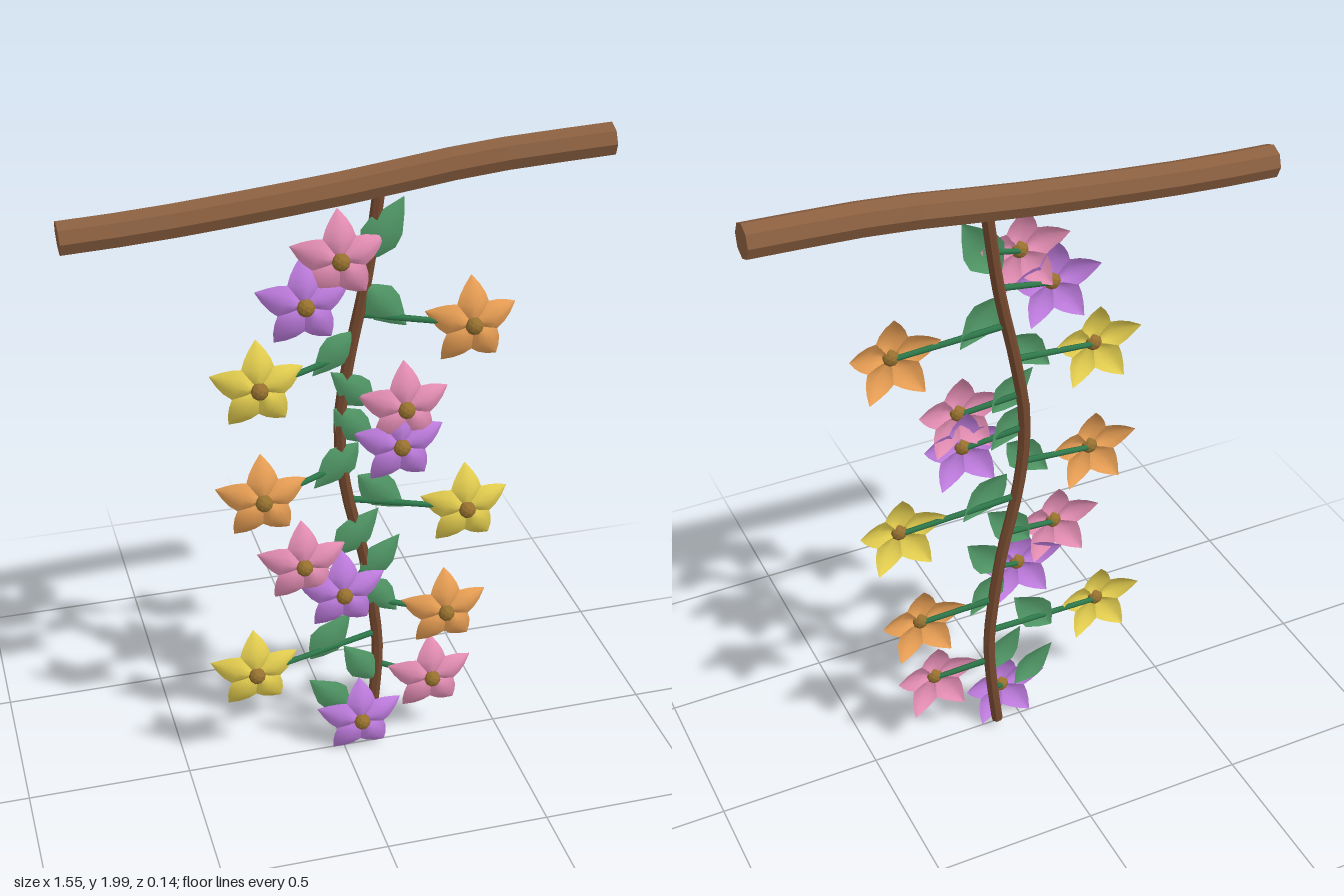
import * as THREE from 'three';

const VINE_Z = -0.018;
const mat = (color, extra = {}) => new THREE.MeshStandardMaterial({ color, ...extra });
const bark = mat(0x8a5f40, { flatShading: true });
const vineBark = mat(0x75492f, { flatShading: true });
const stemGreen = mat(0x2f7a4c);
const leafGreen = mat(0x529a68, { side: THREE.DoubleSide });
const gold = mat(0x96702f, { flatShading: true });
const petalMats = {};
for (const [name, color] of Object.entries({ pink: 0xe68fb5, purple: 0xc07de0, orange: 0xeaa055, yellow: 0xe6d050 })) {
  petalMats[name] = mat(color, { side: THREE.DoubleSide });
}

function mesh(name, geometry, material) {
  const m = new THREE.Mesh(geometry, material);
  m.name = name;
  return m;
}

// Blade along +y; rows are [distance, half width, ridge z, drop of the edge]
function bladeGeometry(rows) {
  const cols = [-1, -0.5, 0, 0.5, 1], pos = [], idx = [];
  rows.forEach(([y, w, z, drop], r) => {
    for (const c of cols) pos.push(c * w, y, z - drop * Math.abs(c) ** 1.5);
    if (r === 0) return;
    for (let i = 0; i < cols.length - 1; i++) {
      const a = (r - 1) * cols.length + i, b = a + cols.length;
      idx.push(a, a + 1, b + 1, a, b + 1, b);
    }
  });
  const g = new THREE.BufferGeometry();
  g.setAttribute('position', new THREE.Float32BufferAttribute(pos, 3));
  g.setIndex(idx);
  g.computeVertexNormals();
  return g;
}

const petalGeo = bladeGeometry([
  [0.004, 0.003, 0.036, 0.002],
  [0.035, 0.026, 0.045, 0.012],
  [0.064, 0.047, 0.043, 0.018],
  [0.09, 0.038, 0.034, 0.014],
  [0.115, 0.023, 0.021, 0.008],
  [0.141, 0.001, 0.002, 0],
]);
// Unit-length leaf, scaled to each pair of end points
const leafGeo = bladeGeometry([
  [0, 0.01, 0, 0],
  [0.15, 0.15, 0.05, 0.05],
  [0.35, 0.28, 0.09, 0.09],
  [0.55, 0.26, 0.09, 0.08],
  [0.78, 0.14, 0.05, 0.04],
  [1, 0.005, 0, 0],
]);
const heartGeo = new THREE.IcosahedronGeometry(0.026, 1);

// Tube along points with closed ends
function cappedTube(name, curve, segments, radius, sides, material) {
  const g = new THREE.Group();
  g.name = name;
  g.add(mesh(name + 'Body', new THREE.TubeGeometry(curve, segments, radius, sides), material));
  for (const t of [0, 1]) {
    const cap = mesh(name + 'End', new THREE.CircleGeometry(radius, sides), material);
    const p = curve.getPoint(t);
    cap.position.copy(p);
    cap.lookAt(p.clone().addScaledVector(curve.getTangent(t), t ? 1 : -1));
    g.add(cap);
  }
  return g;
}

const spline = (pts, z) => new THREE.CatmullRomCurve3(pts.map(([x, y]) => new THREE.Vector3(x, y, z)));

// Straight stalk between two points
function stalk(a, b) {
  const d = b.clone().sub(a);
  const m = mesh('flowerStem', new THREE.CylinderGeometry(0.008, 0.01, d.length(), 6), stemGreen);
  m.position.copy(a).addScaledVector(d, 0.5);
  m.quaternion.setFromUnitVectors(new THREE.Vector3(0, 1, 0), d.normalize());
  return m;
}

function flower(x, y, color) {
  const g = new THREE.Group();
  g.name = color + 'Flower';
  for (let i = 0; i < 5; i++) {
    const petal = mesh('petal', petalGeo, petalMats[color]);
    petal.rotation.z = (i * Math.PI * 2) / 5;
    g.add(petal);
  }
  const heart = mesh('flowerCentre', heartGeo, gold);
  heart.position.z = 0.043;
  g.add(heart);
  g.position.set(x, y, 0);
  return g;
}

function leaf([x0, y0, x1, y1]) {
  const m = mesh('leaf', leafGeo, leafGreen);
  const len = Math.hypot(x1 - x0, y1 - y0);
  m.scale.set(len, len, len);
  m.position.set(x0, y0, -0.009);
  m.rotation.z = Math.atan2(y1 - y0, x1 - x0) - Math.PI / 2;
  return m;
}

export function createModel() {
  const root = new THREE.Group();
  root.name = 'hangingFlowerVine';

  // Branch across the top
  const branch = spline([[-0.773, 1.828], [-0.52, 1.84], [0, 1.887], [0.4, 1.935], [0.773, 1.953]], -0.02);
  root.add(cappedTube('branch', branch, 10, 0.049, 8, bark));

  // Hanging vine
  const vine = spline([[0.105, 1.88], [0.07, 1.62], [0.025, 1.4], [-0.006, 1.2], [-0.004, 1.06], [0.02, 0.9],
    [0.068, 0.7], [0.1, 0.5], [0.113, 0.36], [0.105, 0.2], [0.088, 0.035]], VINE_Z);
  root.add(cappedTube('vine', vine, 28, 0.018, 7, vineBark));
  const samples = vine.getPoints(200);
  const vineAt = (y) => samples.reduce((a, b) => (Math.abs(b.y - y) < Math.abs(a.y - y) ? b : a));

  // Flowers, each on a stem from the vine
  const flowers = [
    [-0.02, 1.7, 'pink'], [-0.12, 1.575, 'purple'], [0.37, 1.458, 'orange'], [-0.255, 1.335, 'yellow'],
    [0.175, 1.215, 'pink'], [0.163, 1.093, 'purple'], [-0.25, 0.97, 'orange'], [0.37, 0.85, 'yellow'],
    [-0.132, 0.728, 'pink'], [-0.01, 0.606, 'purple'], [0.315, 0.487, 'orange'], [-0.285, 0.363, 'yellow'],
    [0.275, 0.245, 'pink'], [0.048, 0.122, 'purple'],
  ];
  for (const [x, y, color] of flowers) {
    root.add(flower(x, y, color));
    root.add(stalk(vineAt(y + 0.055), new THREE.Vector3(x, y, 0.03)));
  }

  // Leaves: base x, y then tip x, y
  const leaves = [
    [0.06, 1.67, 0.172, 1.85], [0.055, 1.6, 0.185, 1.46], [0.03, 1.46, -0.09, 1.335], [0.09, 1.22, -0.037, 1.34],
    [-0.028, 1.22, 0.095, 1.09], [0.045, 1.1, -0.088, 0.965], [0.045, 0.99, 0.187, 0.86], [-0.028, 0.725, 0.108, 0.868],
    [0.055, 0.63, 0.175, 0.765], [0.06, 0.625, 0.17, 0.49], [-0.105, 0.355, 0.022, 0.508], [0.105, 0.242, 0.002, 0.385],
    [0.02, 0.15, -0.108, 0.275],
  ];
  for (const l of leaves) root.add(leaf(l));
  return root;
}
